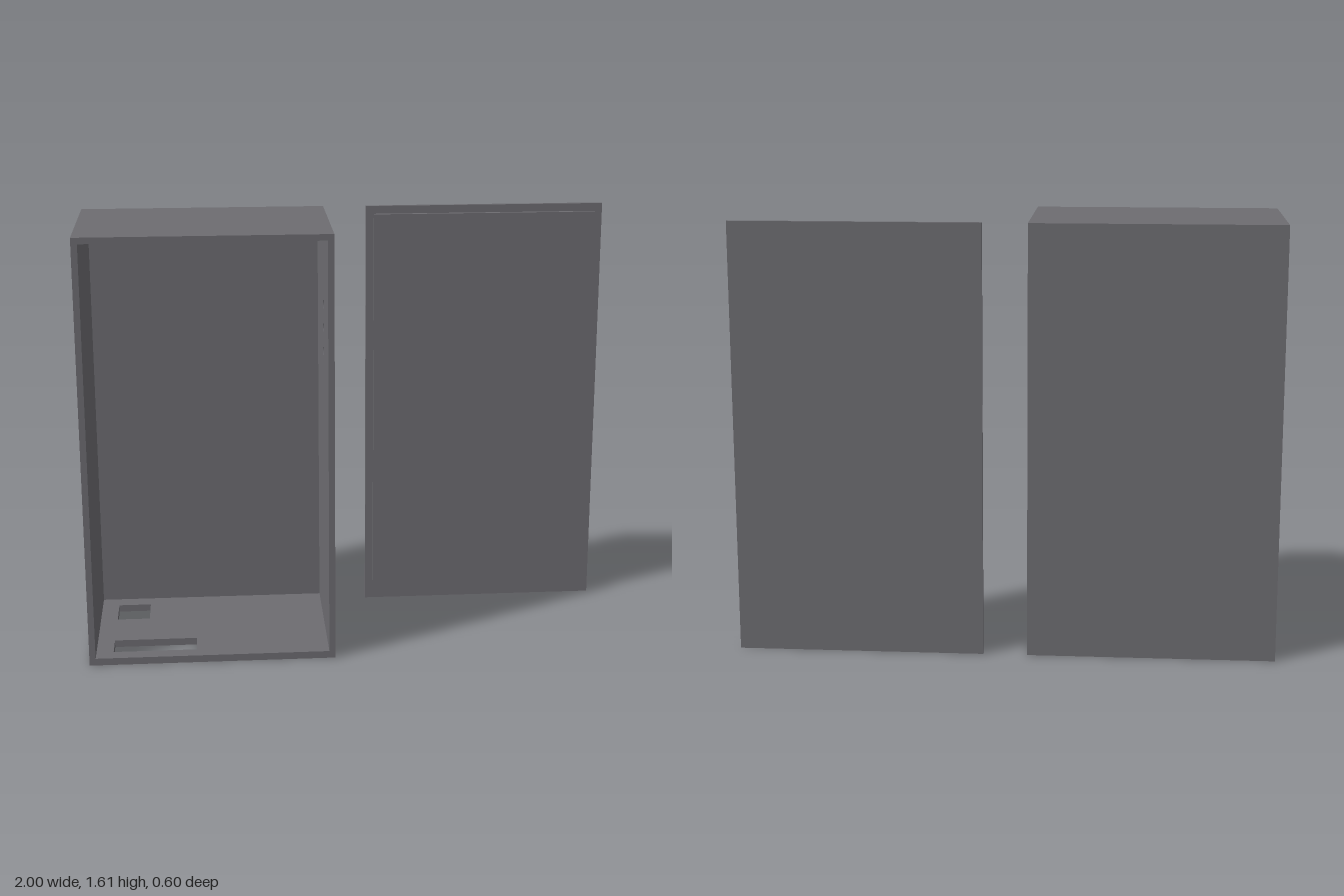
import * as THREE from 'three';

const material = new THREE.MeshStandardMaterial({ color: 0x6d6c71, flatShading: true });

// Overall sizes: case and cover share the same outline
const W = 0.918, H = 1.61, D = 0.604, T = 0.023, floorT = 0.027;
const caseX = -1 + W / 2, coverX = 1 - W / 2;
const back = -D / 2;

function add(group, name, geometry, x = 0, y = 0, z = 0) {
  const mesh = new THREE.Mesh(geometry, material);
  mesh.name = name;
  mesh.position.set(x, y, z);
  group.add(mesh);
  return mesh;
}

function rectangle(path, x0, y0, x1, y1) {
  path.moveTo(x0, y0);
  path.lineTo(x1, y0);
  path.lineTo(x1, y1);
  path.lineTo(x0, y1);
  path.closePath();
  return path;
}

// Flat panel with cut-outs, drawn in its own plane
function panel(x0, y0, x1, y1, depth, holes) {
  const shape = rectangle(new THREE.Shape(), x0, y0, x1, y1);
  shape.holes.push(...holes);
  return new THREE.ExtrudeGeometry(shape, { depth, bevelEnabled: false, curveSegments: 24 });
}

export function createModel() {
  const model = new THREE.Group();
  model.name = 'enclosure';

  // Case, open at the front
  const box = new THREE.Group();
  box.name = 'case';
  model.add(box);
  const innerW = W - 2 * T, innerH = H - T - floorT;
  add(box, 'backWall', new THREE.BoxGeometry(innerW, innerH, T), caseX, floorT + innerH / 2, back + T / 2);
  add(box, 'topWall', new THREE.BoxGeometry(innerW, T, D), caseX, H - T / 2, 0);
  add(box, 'rightWall', new THREE.BoxGeometry(T, H, D), -1 + T / 2, H / 2, 0);

  // Left wall with three round holes; shape x runs along -z
  const roundHoles = [1.127, 1.213, 1.3].map((y) =>
    new THREE.Path().absarc(-0.045, y, 0.018, 0, Math.PI * 2, true));
  const leftWall = panel(-D / 2, 0, D / 2, H, T, roundHoles).rotateY(Math.PI / 2);
  add(box, 'leftWall', leftWall, -1 + W - T, 0, 0);

  // Floor with a long slot at the front and a small port behind; shape y runs along -z
  const ports = [
    rectangle(new THREE.Path(), -0.913, -0.245, -0.602, -0.137),
    rectangle(new THREE.Path(), -0.912, 0.069, -0.787, 0.215),
  ];
  const floor = panel(-1 + T, -D / 2, -1 + W - T, D / 2, floorT, ports).rotateX(-Math.PI / 2);
  add(box, 'floor', floor);

  // Separate cover: plate with a raised insert that fits the opening
  const cover = new THREE.Group();
  cover.name = 'cover';
  model.add(cover);
  const plateT = 0.016, insertT = 0.016, inset = 0.03;
  add(cover, 'coverPlate', new THREE.BoxGeometry(W, H, plateT), coverX, H / 2, back + plateT / 2);
  add(cover, 'coverInsert', new THREE.BoxGeometry(W - 2 * inset, H - 2 * inset, insertT),
    coverX, H / 2, back + plateT + insertT / 2);

  return model;
}
